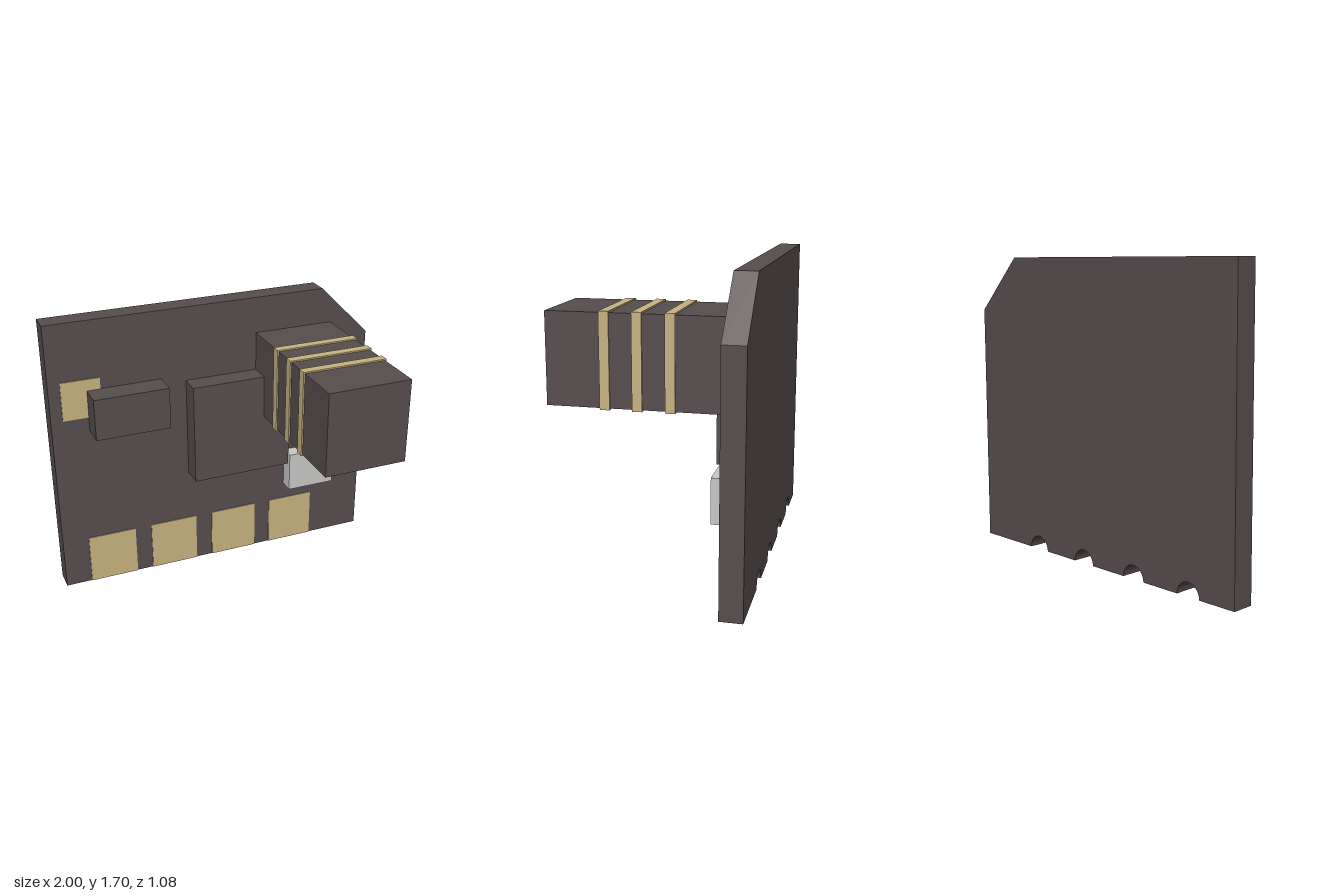
import * as THREE from 'three';

export function createModel() {
  const group = new THREE.Group();
  group.name = 'circuitBoard';

  const material = (name, color) => {
    const m = new THREE.MeshStandardMaterial({ color });
    m.name = name;
    return m;
  };
  const dark = material('dark board', 0x574d4d);
  const gold = material('gold contact', 0xc8b280);
  const silver = material('silver metal', 0xc8c9c7);

  const BACK = -0.54, FACE = -0.415;
  const contactXs = [-0.692, -0.293, 0.108, 0.506];

  // Box given by its limits on each axis
  const box = (name, mat, x0, x1, y0, y1, z0, z1) => {
    const mesh = new THREE.Mesh(new THREE.BoxGeometry(x1 - x0, y1 - y0, z1 - z0), mat);
    mesh.position.set((x0 + x1) / 2, (y0 + y1) / 2, (z0 + z1) / 2);
    mesh.name = name;
    group.add(mesh);
  };

  // Board with one cut corner and a half-round notch behind each contact
  const outline = new THREE.Shape();
  outline.moveTo(-1, 0);
  for (const x of contactXs) {
    outline.lineTo(x - 0.077, 0);
    outline.absarc(x, 0, 0.077, Math.PI, 0, true);
  }
  outline.lineTo(1, 0);
  outline.lineTo(1, 1.385);
  outline.lineTo(0.69, 1.695);
  outline.lineTo(-1, 1.695);
  outline.closePath();
  const board = new THREE.Mesh(
    new THREE.ExtrudeGeometry(outline, { depth: FACE - BACK, bevelEnabled: false, curveSegments: 16 }), dark);
  board.position.z = BACK;
  board.name = 'board';
  group.add(board);

  // Edge contacts and the upper pad
  contactXs.forEach((x, i) =>
    box('edgeContact' + (i + 1), gold, x - 0.148, x + 0.148, 0, 0.31, FACE, FACE + 0.005));
  box('upperPad', gold, -0.93, -0.7, 1.115, 1.35, FACE, FACE + 0.005);

  // Components
  box('smallChip', dark, -0.78, -0.335, 1.03, 1.28, FACE, -0.267);
  box('squareChip', dark, -0.185, 0.43, 0.63, 1.245, FACE, -0.287);
  box('metalComponent', silver, 0.46, 0.765, 0.415, 0.662, FACE, -0.325);

  // Tall block with three bands
  box('tallBlock', dark, 0.26, 0.75, 0.988, 1.478, FACE, 0.54);
  [-0.113, 0.058, 0.228].forEach((z, i) =>
    box('blockBand' + (i + 1), gold, 0.252, 0.758, 0.98, 1.486, z - 0.026, z + 0.026));

  return group;
}
